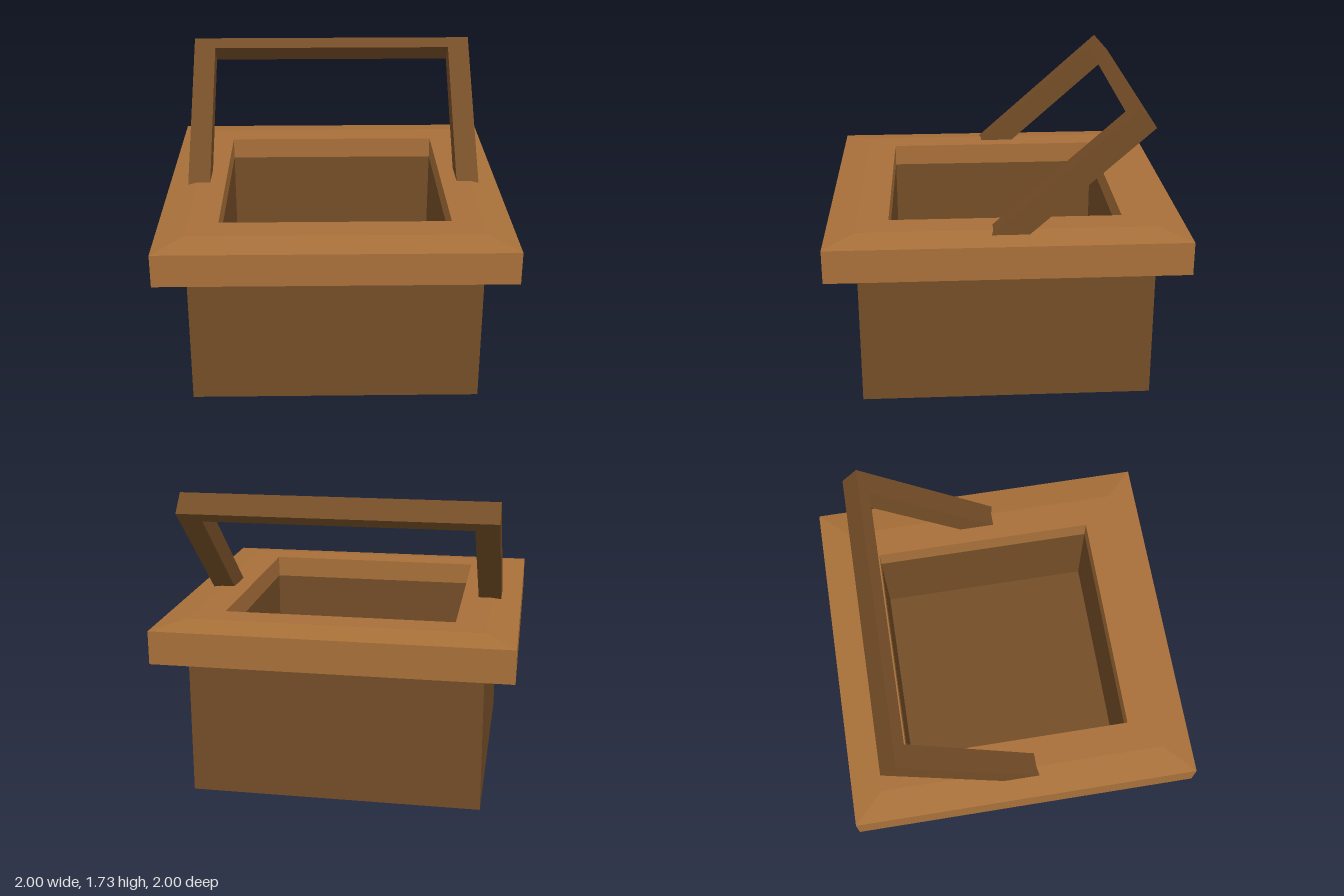
import * as THREE from 'three';

const darkWood = new THREE.MeshStandardMaterial({ color: 0x744d27, flatShading: true });
const lightWood = new THREE.MeshStandardMaterial({ color: 0xa87039, flatShading: true });

// Square solid from a profile of [half width, height], running counter-clockwise
function squareLathe(name, profile, material) {
  const points = profile.map(([half, y]) => new THREE.Vector2(half * Math.SQRT2, y));
  const geometry = new THREE.LatheGeometry(points, 4, Math.PI / 4).toNonIndexed();
  geometry.computeVertexNormals();
  const mesh = new THREE.Mesh(geometry, material);
  mesh.name = name;
  return mesh;
}

export function createModel() {
  const group = new THREE.Group();
  group.name = 'basket';

  // Open box with a raised inner floor
  group.add(squareLathe('body', [
    [0, 0], [0.83, 0], [0.83, 0.91], [0.655, 0.91], [0.655, 0.32], [0, 0.32],
  ], darkWood));

  // Wide rim, bevelled above and below
  group.add(squareLathe('rim', [
    [0.83, 0.76], [1, 0.82], [1, 1.01], [0.83, 1.04], [0.655, 1.04], [0.655, 0.91],
  ], lightWood));

  // Handle: a square arch leaning back, its feet sunk into the rim
  const outer = 0.883, inner = 0.75, top = 1.045, foot = -0.03, depth = 0.138;
  const arch = new THREE.Shape([
    [-outer, foot], [-inner, foot], [-inner, top - 0.075], [inner, top - 0.075],
    [inner, foot], [outer, foot], [outer, top], [-outer, top],
  ].map(([x, y]) => new THREE.Vector2(x, y)));
  const geometry = new THREE.ExtrudeGeometry(arch, { depth, bevelEnabled: false });
  geometry.translate(0, 0, -depth);
  const handle = new THREE.Mesh(geometry, darkWood);
  handle.name = 'handle';
  handle.position.set(0, 1.03, 0.09);
  handle.rotation.x = -Math.atan2(0.78, 0.695);
  group.add(handle);

  return group;
}
